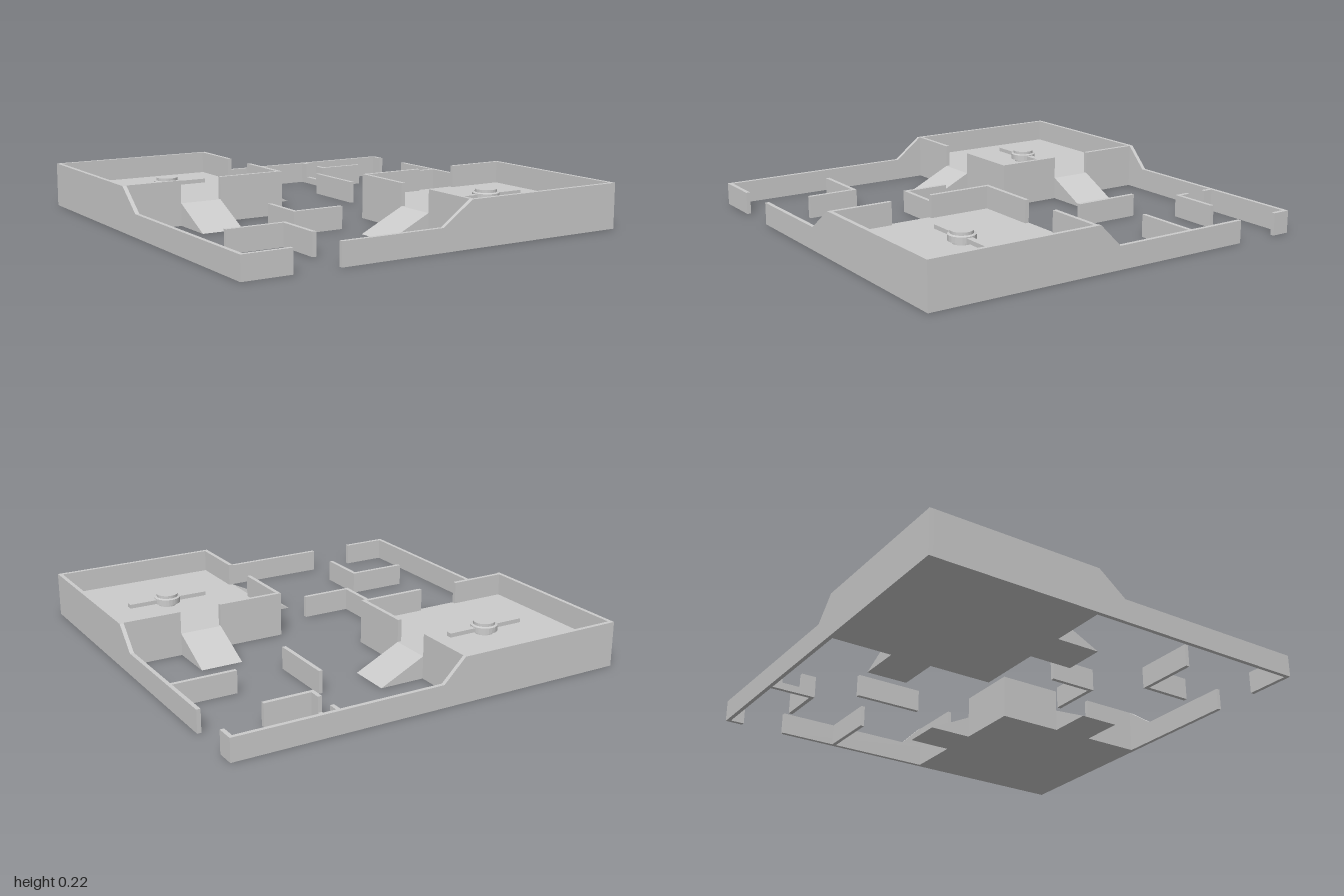
import * as THREE from 'three';

const LOW = 0.11, HIGH = 0.22, T = 0.02;
const material = new THREE.MeshStandardMaterial({ color: 0xcccccc, flatShading: true });

export function createModel() {
  const model = new THREE.Group();

  const add = (name, geometry, parent = model) => {
    const mesh = new THREE.Mesh(geometry, material);
    mesh.name = name;
    parent.add(mesh);
    return mesh;
  };

  // Axis-aligned block from its limits
  const block = (name, x0, x1, y0, y1, z0, z1, parent) => {
    const mesh = add(name, new THREE.BoxGeometry(x1 - x0, y1 - y0, z1 - z0), parent);
    mesh.position.set((x0 + x1) / 2, (y0 + y1) / 2, (z0 + z1) / 2);
    return mesh;
  };
  const wall = (name, x0, x1, z0, z1) => block(name, x0, x1, 0, LOW, z0, z1);

  // Upright outline [along, height], extruded by depth
  const slab = (points, depth) => new THREE.ExtrudeGeometry(
    new THREE.Shape(points.map(p => new THREE.Vector2(...p))), { depth, bevelEnabled: false });

  // Outline running along x, starting at depth z
  const slabX = (name, points, z, depth = T) => {
    add(name, slab(points, depth)).position.z = z;
  };
  // Outline running along z, starting at x
  const slabZ = (name, points, x, depth = T) => {
    const mesh = add(name, slab(points.map(([z, y]) => [-z, y]), depth));
    mesh.rotation.y = Math.PI / 2;
    mesh.position.x = x;
  };

  // Outer walls, stepping down from the platforms to the low enclosure
  const stepped = (high, edge, foot, low) =>
    [[high, 0], [high, HIGH], [edge, HIGH], [foot, LOW], [low, LOW], [low, 0]];
  slabX('backWall', stepped(-1, -0.145, -0.035, 1), -1);
  slabX('frontWall', stepped(1, 0.145, -0.01, -0.53), 1 - T);
  slabZ('rightWall', stepped(-1 + T, -0.14, 0, 1 - T), -1);
  slabZ('leftWall', stepped(1 - T, 0.14, 0.03, -0.69), 1 - T);
  wall('frontCornerWall', -1, -0.76, 1 - T, 1);
  wall('backCornerWall', 1 - T, 1, -1 + T, -0.91);

  // Raised platforms in opposite corners, s = -1 for back right, 1 for front left
  for (const s of [-1, 1]) {
    const side = s < 0 ? 'back' : 'front';
    const span = (a, b) => [Math.min(s * a, s * b), Math.max(s * a, s * b)];
    const [lo, hi] = span(0.145 + T, 1 - T);
    block(side + 'Platform', lo, hi, 0, LOW, lo, hi);

    // Inner walls with an opening at the head of each ramp
    const opening = s < 0 ? [0.47, 0.68] : [0.475, 0.685];
    const openX = s < 0 ? [0.49, 0.7] : [0.48, 0.69];
    const parapet = ([a, b]) => [[0.145, 0], [0.145, HIGH], [a, HIGH], [a, LOW],
      [b, LOW], [b, HIGH], [1 - T, HIGH], [1 - T, 0]].map(([u, y]) => [s * u, y]);
    const inner = span(0.145, 0.145 + T)[0];
    slabX(side + 'PlatformCrossWall', parapet(openX), inner);
    slabZ(side + 'PlatformSideWall', parapet(opening), inner);

    // Solid ramps down to the floor
    const wedge = [[s * 0.145, 0], [s * 0.145, LOW], [s * -0.08, 0]];
    slabX(side + 'SideRamp', wedge, span(...opening)[0], opening[1] - opening[0]);
    slabZ(side + 'CrossRamp', wedge, span(...openX)[0], openX[1] - openX[0]);

    // Round hub with a bar through it
    const hub = new THREE.Group();
    hub.name = side + 'Hub';
    hub.position.set(s * 0.575, LOW, s * 0.57);
    const profile = [[0, 0], [0.045, 0], [0.045, 0.014], [0.065, 0.014], [0.065, 0.042],
      [0.053, 0.046], [0.053, 0.06], [0, 0.06]].map(p => new THREE.Vector2(...p));
    add('hubDrum', new THREE.LatheGeometry(profile, 24), hub);
    block('hubBar', -0.207, 0.207, 0.017, 0.037, -0.016, 0.016, hub);
    model.add(hub);
  }

  // Free-standing low walls
  wall('shortWall', 0.335, 0.355, -0.59, -0.25);
  wall('spurWall', 0.665, 1 - T, -0.4, -0.38);
  wall('centreWallLong', -0.355, -0.335, 0.085, 0.325);
  wall('centreWallFoot', -0.335, -0.09, 0.305, 0.325);
  wall('frontWallTop', -0.815, -0.51, 0.51, 0.53);
  wall('frontWallLeg', -0.53, -0.51, 0.53, 0.77);

  // Corner nook with a notch in one wall
  slabZ('notchedWall', [[-1 + T, 0], [-1 + T, LOW], [-0.93, LOW], [-0.93, 0.035],
    [-0.83, 0.035], [-0.83, LOW], [-0.755, LOW], [-0.755, 0]], 0.48);
  wall('nookWall', 0.5, 0.73, -0.775, -0.755);

  return model;
}
